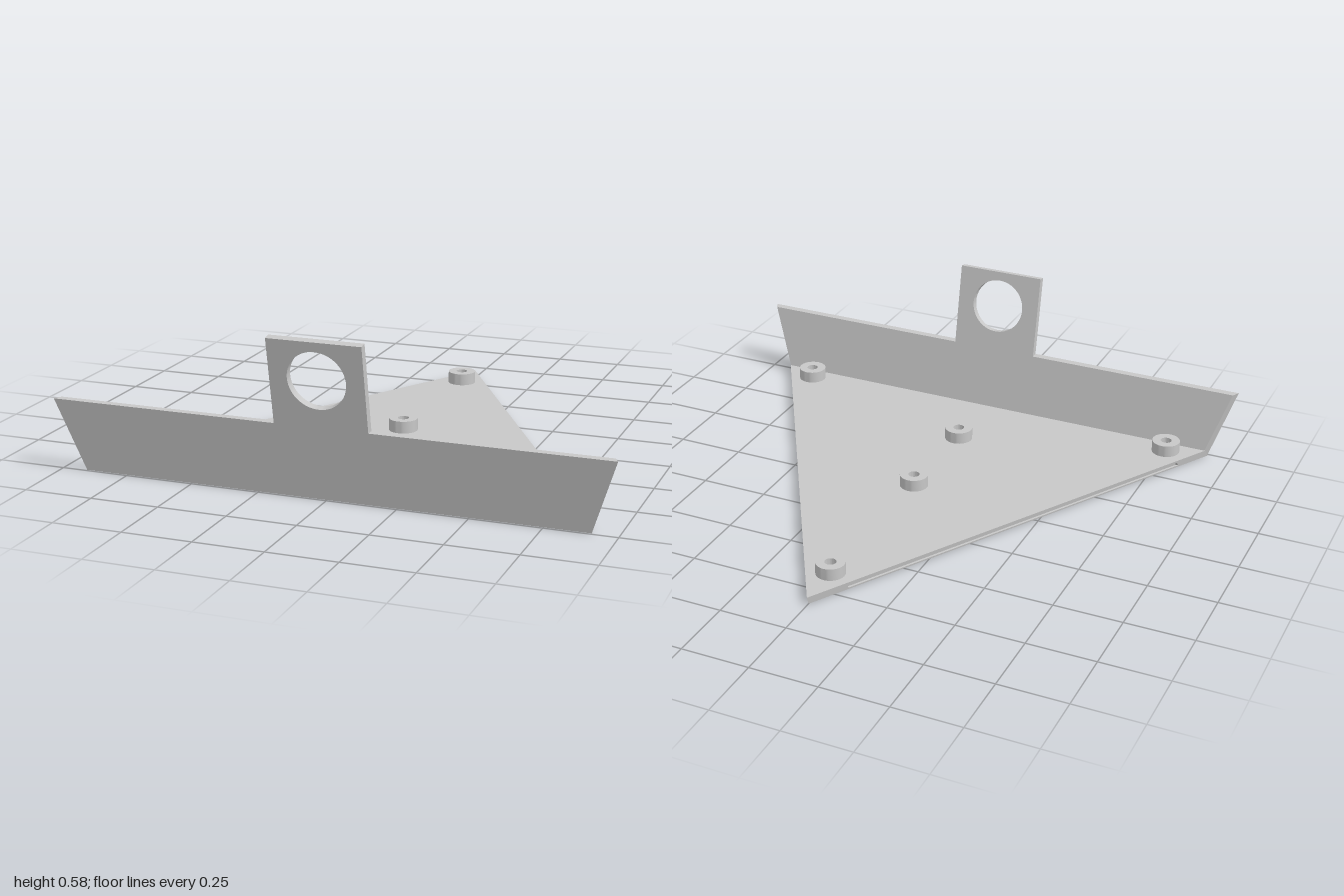
import * as THREE from 'three';
import { toCreasedNormals } from 'three/addons/utils/BufferGeometryUtils.js';

const SLOPE = 0.577; // half width per unit of z on the triangle
const APEX = -0.85, FRONT = 0.72, TOP = 0.03;

function polygon(points) {
  return new THREE.Shape(points.map(([x, y]) => new THREE.Vector2(x, y)));
}

function addHole(shape, x, y, r) {
  shape.holes.push(new THREE.Path().absarc(x, y, r, 0, Math.PI * 2, true));
}

// Moves every vertex by a rule
function warp(geometry, rule) {
  const p = geometry.attributes.position;
  const v = new THREE.Vector3();
  for (let i = 0; i < p.count; i++) {
    v.fromBufferAttribute(p, i);
    rule(v);
    p.setXYZ(i, v.x, v.y, v.z);
  }
  return toCreasedNormals(geometry, 0.5);
}

// One horizontal layer of the triangular plate, with side recesses of a given depth
function plateLayer(y0, y1, recess) {
  const half = (z) => (z - APEX) * SLOPE;
  const side = [[half(FRONT), FRONT]];
  if (recess > 0) {
    for (const [z, d] of [[0.59, 0], [0.59, recess], [-0.71, recess], [-0.71, 0]]) {
      side.push([half(z) - d, z]);
    }
  }
  // Counter-clockwise outline, so that the hole's wall faces inward
  const mirrored = side.map(([x, z]) => [-x, z]);
  const shape = polygon([[0, APEX], ...side.reverse(), ...mirrored]);
  addHole(shape, 0, 0.21, 0.042);
  const geometry = new THREE.ExtrudeGeometry(shape, { depth: y1 - y0, bevelEnabled: false, curveSegments: 40 });
  geometry.rotateX(Math.PI / 2).translate(0, y1, 0);
  // Lean the outer edges: the underside is a little shorter at the apex, longer at the bend
  return warp(geometry, (v) => {
    if (Math.hypot(v.x, v.z - 0.21) < 0.1) return;
    const h = v.y / TOP;
    const apex = -0.84 - 0.01 * h;
    const front = 0.742 - 0.022 * h;
    const z = THREE.MathUtils.mapLinear(v.z, APEX, FRONT, apex, front);
    const offset = Math.abs(v.x) - half(v.z);
    v.x = Math.sign(v.x) * ((z - apex) * SLOPE + offset);
    v.z = z;
  });
}

// Leaning front flange with its eyelet tab
function flangeGeometry() {
  const t = 0.028, top = 0.27;
  const shape = polygon([
    [-0.91, 0], [0.91, 0], [1, top], [0.168, top],
    [0.168, 0.58], [-0.168, 0.58], [-0.168, top], [-1, top],
  ]);
  addHole(shape, 0, 0.442, 0.104);
  const geometry = new THREE.ExtrudeGeometry(shape, { depth: t, bevelEnabled: false, curveSegments: 48 });
  geometry.translate(0, 0, -t);
  // Mitre the two ends so that the inner face is narrower, and level the long top edge
  const mitred = warp(geometry, (v) => {
    if (v.z > -t / 2) return;
    if (Math.abs(v.x) > 0.5) v.x -= Math.sign(v.x) * 0.015;
    if (Math.abs(v.y - top) < 0.001 && Math.abs(v.x) > 0.16) v.y -= 0.005;
  });
  return mitred.rotateX(0.182).translate(0, 0, 0.742);
}

export function createModel() {
  const model = new THREE.Group();
  model.name = 'triangularBracket';
  const metal = new THREE.MeshStandardMaterial({ color: 0xc7c7c7 });
  metal.name = 'light grey metal';

  const add = (name, geometry, parent = model) => {
    const mesh = new THREE.Mesh(geometry, metal);
    mesh.name = name;
    parent.add(mesh);
    return mesh;
  };

  // Triangular base with a shallow recess along its two long sides
  const base = new THREE.Group();
  base.name = 'basePlate';
  model.add(base);
  add('baseBottom', plateLayer(0, 0.006, 0), base);
  add('baseCore', plateLayer(0.006, 0.021, 0.01), base);
  add('baseTop', plateLayer(0.021, TOP, 0), base);

  add('frontFlange', flangeGeometry());

  // Hollow standoffs
  const profile = [[0.053, TOP], [0.053, 0.075], [0.021, 0.075], [0.021, TOP]];
  const standoff = toCreasedNormals(
    new THREE.LatheGeometry(profile.map(([x, y]) => new THREE.Vector2(x, y)), 40), 0.5);
  for (const [x, z] of [[0, -0.675], [0, 0.005], [0, 0.42], [0.767, 0.657], [-0.767, 0.657]]) {
    add('standoff', standoff).position.set(x, 0, z);
  }
  return model;
}
